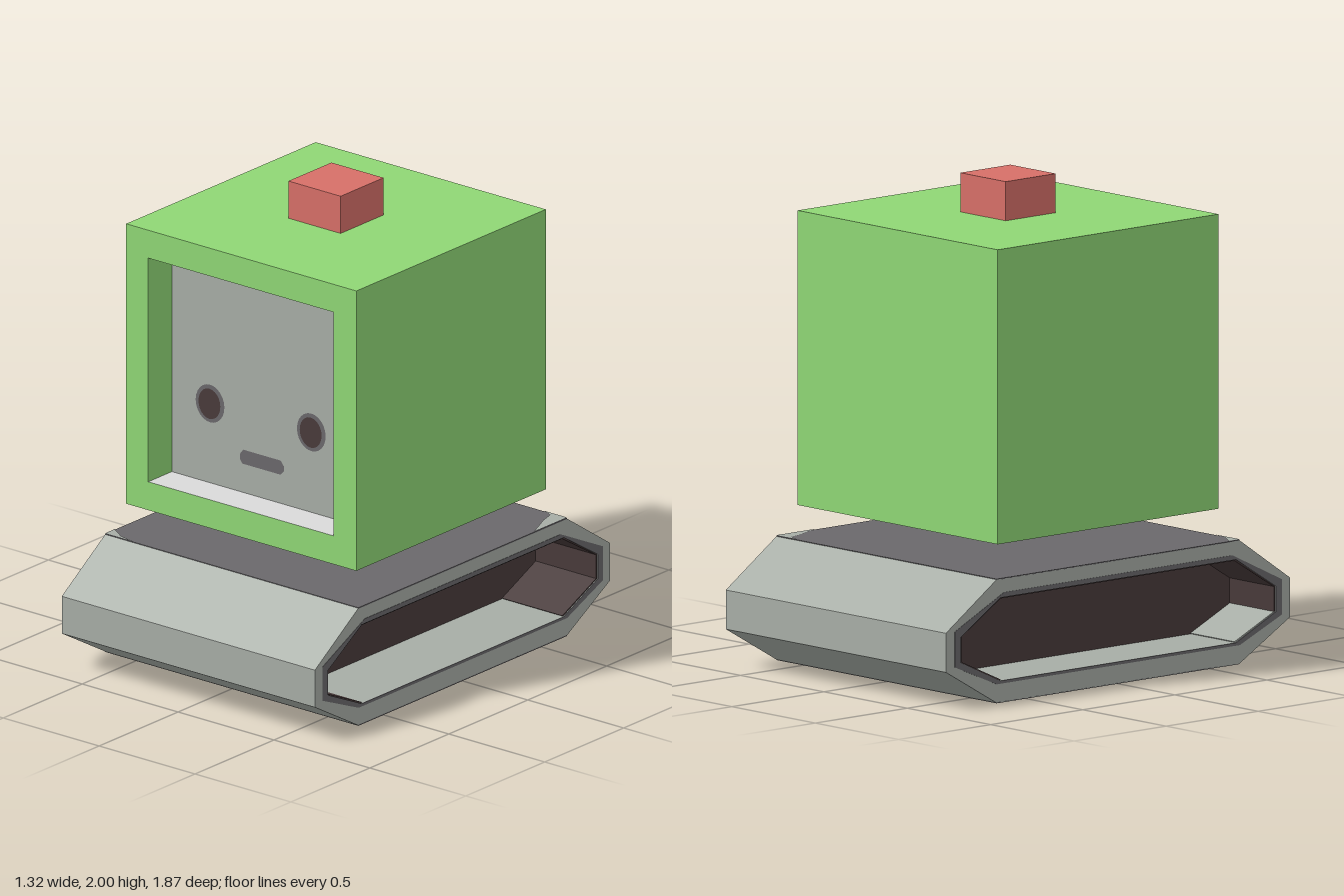
import * as THREE from 'three';

const mat = (name, color, side = THREE.FrontSide) => {
  const m = new THREE.MeshStandardMaterial({ color, side });
  m.name = name;
  return m;
};

export function createModel() {
  const model = new THREE.Group();
  model.name = 'robot';
  const green = mat('green', 0x8fd675, THREE.DoubleSide);
  const grey = mat('grey', 0xa7ada6, THREE.DoubleSide);
  const lightGrey = mat('lightGrey', 0xdadada, THREE.DoubleSide);
  const dark = mat('darkGrey', 0x6a686b);
  const brown = mat('darkBrown', 0x483a3a);
  const red = mat('red', 0xd66f68);

  const add = (parent, name, geo, material, x = 0, y = 0, z = 0) => {
    const m = new THREE.Mesh(geo, material);
    m.name = name;
    m.position.set(x, y, z);
    parent.add(m);
    return m;
  };
  const box = (parent, name, material, w, h, d, x, y, z) =>
    add(parent, name, new THREE.BoxGeometry(w, h, d), material, x, y, z);
  // Thin sheets: upright across x, upright along z, and level
  const sheetX = (parent, name, material, w, h, x, y, z) =>
    add(parent, name, new THREE.PlaneGeometry(w, h), material, x, y, z);
  const sheetZ = (parent, name, material, d, h, x, y, z) =>
    add(parent, name, new THREE.PlaneGeometry(d, h).rotateY(Math.PI / 2), material, x, y, z);
  const sheetFlat = (parent, name, material, w, d, x, y, z) =>
    add(parent, name, new THREE.PlaneGeometry(w, d).rotateX(-Math.PI / 2), material, x, y, z);
  const toShape = (pts) => new THREE.Shape(pts.map(([a, b]) => new THREE.Vector2(a, b)));
  // Side profile swept along x, centred on its width; profile left becomes the front
  const sweep = (shape, width) =>
    new THREE.ExtrudeGeometry(shape, { depth: width, bevelEnabled: false })
      .translate(0, 0, -width / 2).rotateY(Math.PI / 2);

  // Head: a shell open underneath, with a recessed face in the front
  const head = new THREE.Group();
  head.name = 'head';
  model.add(head);
  const low = 0.635, high = 1.84, mid = (low + high) / 2;
  for (const s of [-1, 1]) sheetZ(head, 'headSide', green, 1.2, high - low, s * 0.6, mid, 0);
  sheetX(head, 'headBack', green, 1.2, high - low, 0, mid, -0.6).rotation.y = Math.PI;
  sheetFlat(head, 'headTop', green, 1.2, 1.2, 0, high, 0);
  const frame = toShape([[-0.6, low], [0.6, low], [0.6, high], [-0.6, high]]);
  frame.holes.push(toShape([[-0.485, 0.757], [-0.485, 1.72], [0.482, 1.72], [0.482, 0.757]]));
  add(head, 'faceFrame', new THREE.ShapeGeometry(frame), green, 0, 0, 0.6);
  for (const x of [-0.485, 0.482]) sheetZ(head, 'recessSide', green, 0.15, 0.963, x, 1.2385, 0.525);
  sheetFlat(head, 'recessTop', green, 0.967, 0.15, -0.0015, 1.72, 0.525);
  sheetFlat(head, 'faceSill', lightGrey, 0.967, 0.15, -0.0015, 0.757, 0.525);
  sheetX(head, 'facePanel', grey, 0.967, 0.963, -0.0015, 1.2385, 0.45);
  box(head, 'topButton', red, 0.272, 0.16, 0.272, 0, 1.92, 0);

  // Eyes: dark rim with a darker pupil
  for (const [x, y] of [[-0.283, 1.1], [0.245, 1.103]]) {
    const disc = (name, m, rx, ry, z) =>
      add(head, name, new THREE.CircleGeometry(1, 24), m, x, y, z).scale.set(rx, ry, 1);
    disc('eyeRim', dark, 0.075, 0.081, 0.454);
    disc('eyePupil', brown, 0.057, 0.065, 0.458);
  }

  // Mouth: flat bar with clipped ends
  add(head, 'mouth', new THREE.ShapeGeometry(toShape([
    [-0.115, 0.882], [0.085, 0.882], [0.102, 0.9], [0.102, 0.922],
    [0.085, 0.943], [-0.11, 0.943], [-0.128, 0.92], [-0.128, 0.9],
  ])), dark, 0, 0, 0.454);

  // Tracked base: eight-sided profiles
  const octagon = (flatLow, bottom, tip, tipLow, tipHigh, flatHigh, top) => [
    [-flatLow, bottom], [-tip, tipLow], [-tip, tipHigh], [-flatHigh, top],
    [flatHigh, top], [tip, tipHigh], [tip, tipLow], [flatLow, bottom],
  ];
  const outer = octagon(0.66, 0.002, 0.935, 0.16, 0.32, 0.66, 0.506);
  const opening = octagon(0.64, 0.09, 0.855, 0.19, 0.295, 0.64, 0.43);
  const ring = octagon(0.66, 0.078, 0.888, 0.175, 0.32, 0.62, 0.45);
  const inset = opening.map(([z, y]) => [z * 0.992, 0.26 + (y - 0.26) * 0.975]);
  const holed = (pts) => {
    const s = toShape(pts);
    s.holes.push(toShape([...opening].reverse()));
    return s;
  };

  const base = new THREE.Group();
  base.name = 'trackBase';
  model.add(base);
  const half = 0.66, leftDepth = 0.32, rightDepth = 0.27;
  add(base, 'baseCore', sweep(toShape(outer), 2 * half - leftDepth - rightDepth), [brown, grey],
    (rightDepth - leftDepth) / 2);

  // Recess lining colours run from the lower front slope over the top to the lower back slope
  const sides = [
    { s: 1, depth: leftDepth, colours: [brown, brown, dark, brown, brown, brown, brown] },
    { s: -1, depth: rightDepth, colours: [grey, brown, brown, brown, brown, brown, brown] },
  ];
  for (const { s, depth, colours } of sides) {
    const x = s * (half - depth / 2);
    add(base, 'trackRim', sweep(holed(outer), depth), grey, x);
    add(base, 'trackRing', sweep(holed(ring), 0.004), dark, s * (half - 0.0005));
    colours.forEach((colour, i) => {
      const strip = toShape([opening[i], opening[i + 1], inset[i + 1], inset[i]]);
      add(base, 'recessLining', sweep(strip, depth - 0.006), colour, x);
    });
  }
  box(base, 'deck', dark, 1.32, 0.005, 1.32, 0, 0.506, 0);
  box(base, 'underside', dark, 1.32, 0.005, 1.32, 0, 0.0025, 0);

  // Worn light patches at two deck corners
  const patch = (pts) =>
    add(base, 'deckPatch', new THREE.ShapeGeometry(toShape(pts)).rotateX(-Math.PI / 2), grey, 0, 0.511, 0);
  patch([[0.66, 0.45], [0.66, 0.66], [0.54, 0.66], [0.59, 0.64], [0.605, 0.58], [0.64, 0.5]]);
  patch([[-0.66, -0.66], [-0.51, -0.66], [-0.59, -0.645], [-0.66, -0.6]]);

  return model;
}
